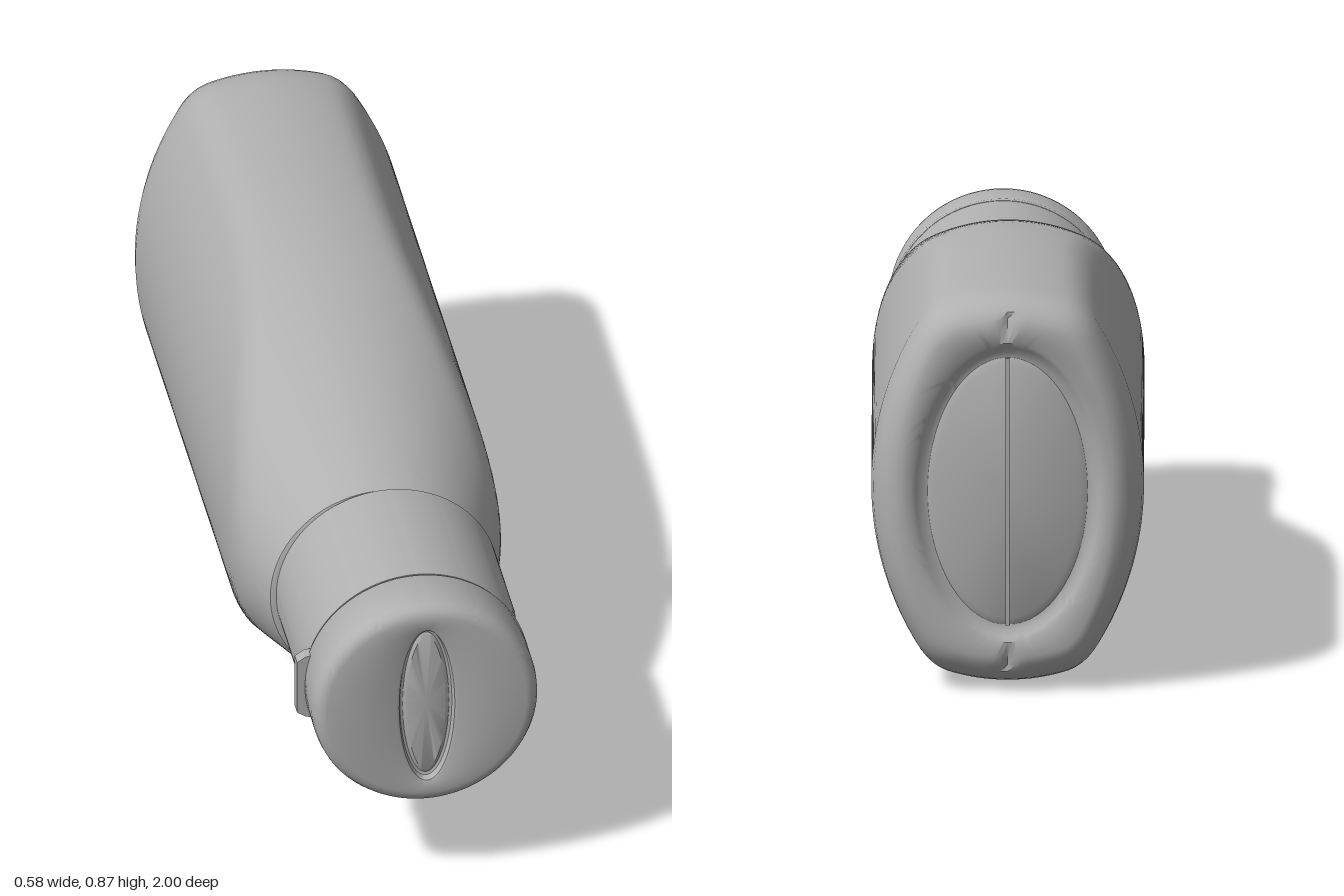
import * as THREE from 'three';
import { toCreasedNormals } from 'three/addons/utils/BufferGeometryUtils.js';

const SEG = 160;
const CY = 0.436; // height of the bottle axis
const CAP_X = 0.012; // the cap sits slightly off centre

// Skin a list of rings running from +z to -z; ring(angle) gives [x, y, z]
function loft(rings, crease = 0.6) {
  const pos = [], idx = [];
  rings.forEach((ring, i) => {
    for (let j = 0; j < SEG; j++) {
      pos.push(...ring((j / SEG) * Math.PI * 2));
      if (i === rings.length - 1) continue;
      const a = i * SEG + j, b = i * SEG + ((j + 1) % SEG);
      idx.push(a, a + SEG, b, b, a + SEG, b + SEG);
    }
  });
  const g = new THREE.BufferGeometry();
  g.setAttribute('position', new THREE.Float32BufferAttribute(pos, 3));
  g.setIndex(idx);
  return toCreasedNormals(g, crease);
}

const ellipse = (rx, ry, z) => (t) => [rx * Math.cos(t), ry * Math.sin(t), z];
const circle = (r, z) => ellipse(r, r, z);

function smoothMin(a, b, k) {
  const h = Math.max(k - Math.abs(a - b), 0) / k;
  return Math.min(a, b) - (h * h * k) / 4;
}

// Round section trimmed by two broad side arcs
function bodyRadius(t, R) {
  const c = Math.abs(Math.cos(t));
  const side = -0.38 * c + Math.sqrt(0.1444 * c * c + 0.3045);
  return smoothMin(R, side, 0.025);
}

function bodyRing(z, R, inset = 0) {
  return (t) => {
    const r = bodyRadius(t, R) - inset;
    const x = r * Math.cos(t);
    const notch = z < -0.985 ? 0.012 * Math.exp(-((x / 0.012) ** 2)) : 0; // mould seam in the rim
    return [x, r * Math.sin(t), z + notch];
  };
}

function bodyGeometry() {
  const profile = new THREE.SplineCurve([
    [0.5, 0.24], [0.4, 0.273], [0.2, 0.335], [0, 0.384], [-0.2, 0.418],
    [-0.4, 0.432], [-0.6, 0.433], [-0.8, 0.43], [-0.9, 0.425],
  ].map(([z, r]) => new THREE.Vector2(z, r)));
  const rings = [circle(0, 0.5), circle(0.234, 0.5)];
  profile.getPoints(56).forEach((p) => rings.push(bodyRing(p.x - (p.x > 0.499 ? 0.003 : 0), p.y)));
  // Rounded heel
  [[-0.93, 0.004], [-0.95, 0.01], [-0.97, 0.02], [-0.985, 0.033], [-0.995, 0.048], [-1, 0.065]]
    .forEach(([z, inset]) => rings.push(bodyRing(z, 0.424, inset)));
  // Recessed oval base
  rings.push(
    ellipse(0.205, 0.325, -0.997), ellipse(0.195, 0.315, -0.99), ellipse(0.182, 0.302, -0.978),
    ellipse(0.17, 0.29, -0.976), ellipse(0.155, 0.275, -0.983), ellipse(0, 0, -0.984),
  );
  return loft(rings);
}

// Cap sleeve with a flat sloping thumb cut on the +x side
function sleeveGeometry() {
  const rings = [circle(0, 0.853), circle(0.2, 0.853)];
  for (let i = 0; i <= 30; i++) {
    const z = 0.853 - (i / 30) * 0.351;
    const limit = 0.242 - Math.max(0, (z - 0.71) / 0.143) * 0.033;
    rings.push((t) => [Math.min(0.24 * Math.cos(t), limit), 0.24 * Math.sin(t), z]);
  }
  rings.push(circle(0.236, 0.499), circle(0, 0.499));
  return loft(rings, 0.5);
}

// Lid with rounded edge and an oval recess in its face
function lidGeometry() {
  return loft([
    ellipse(0, 0, 0.986), ellipse(0.042, 0.165, 0.986), ellipse(0.05, 0.174, 0.981),
    ellipse(0.056, 0.181, 0.983), ellipse(0.06, 0.186, 0.997), ellipse(0.066, 0.192, 1),
    circle(0.215, 1), circle(0.226, 0.997), circle(0.235, 0.99), circle(0.241, 0.977),
    circle(0.243, 0.96), circle(0.243, 0.862), circle(0.24, 0.857), circle(0, 0.857),
  ]);
}

// Hinge tab with bevelled ends
function hingeGeometry() {
  const s = new THREE.Shape();
  [[-0.2, -0.08], [-0.23, -0.074], [-0.248, -0.062], [-0.248, 0.062], [-0.23, 0.074], [-0.2, 0.08]]
    .forEach(([x, y], i) => (i ? s.lineTo(x, y) : s.moveTo(x, y)));
  return new THREE.ExtrudeGeometry(s, { depth: 0.03, bevelEnabled: false }).translate(0, 0, 0.848);
}

export function createModel() {
  const plastic = new THREE.MeshStandardMaterial({ color: 0xb0b0b0 });
  plastic.name = 'grey plastic';

  const model = new THREE.Group();
  model.name = 'bottle';
  const add = (name, geometry, x = 0, y = CY) => {
    const mesh = new THREE.Mesh(geometry, plastic);
    mesh.name = name;
    mesh.position.set(x, y, 0);
    model.add(mesh);
  };

  add('body', bodyGeometry());
  add('baseSeam', new THREE.BoxGeometry(0.008, 0.58, 0.012).translate(0, 0, -0.982));
  add('capSleeve', sleeveGeometry(), CAP_X, 0.44);
  add('capLid', lidGeometry(), CAP_X, 0.44);
  add('capHinge', hingeGeometry(), 0, 0.44);
  return model;
}
